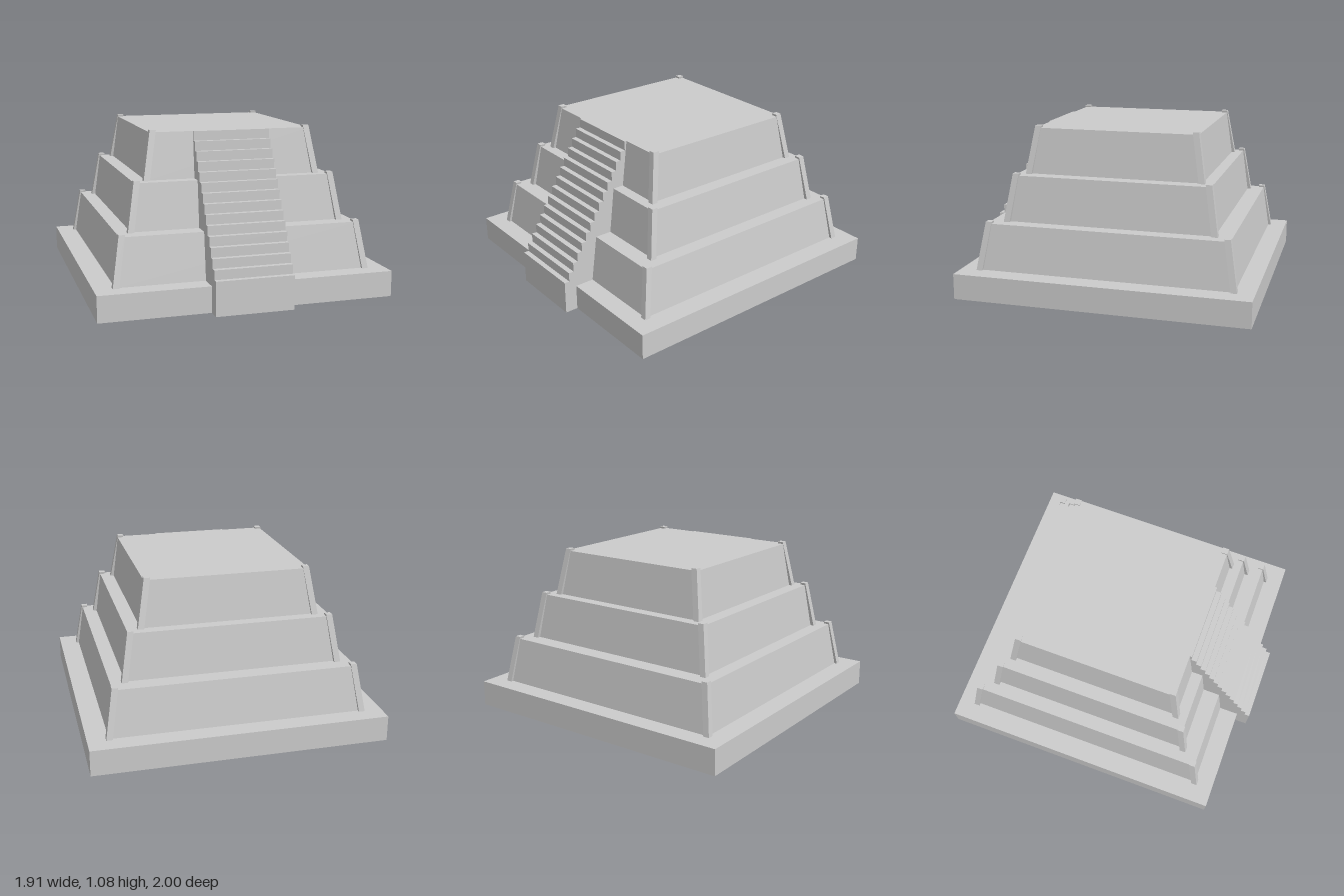
import * as THREE from 'three';
import { mergeGeometries } from 'three/addons/utils/BufferGeometryUtils.js';

const CENTRE_Z = -0.0425;
const material = new THREE.MeshStandardMaterial({ color: 0xcccccc, flatShading: true, side: THREE.DoubleSide });

// Box without a floor, whose bottom and top are separate rectangles [x0, x1, z0, z1]
function loft(bottom, top, y0, y1) {
  const box = new THREE.BoxGeometry(1, 1, 1);
  const p = box.attributes.position;
  for (let i = 0; i < p.count; i++) {
    const up = p.getY(i) > 0;
    const r = up ? top : bottom;
    p.setXYZ(i, r[p.getX(i) > 0 ? 1 : 0], up ? y1 : y0, r[p.getZ(i) > 0 ? 3 : 2]);
  }
  const index = Array.from(box.index.array);
  index.splice(18, 6);
  box.setIndex(index);
  box.clearGroups();
  const g = box.toNonIndexed();
  g.computeVertexNormals();
  return g;
}

const centred = (hx, hz) => [-hx, hx, -hz, hz];

function addMesh(parent, name, geometry) {
  const mesh = new THREE.Mesh(geometry, material);
  mesh.name = name;
  parent.add(mesh);
  return mesh;
}

// Sloping terrace with a leaning square post on each corner
function makeTier(t) {
  const tier = new THREE.Group();
  tier.name = t.name;
  addMesh(tier, 'slopedWalls', loft(centred(...t.wall0), centred(...t.wall1), t.y0, t.y1));
  const w = 0.04;
  const foot = (sx, sz, [hx, hz]) => {
    const x = [sx * hx, sx * (hx - w)].sort((a, b) => a - b);
    const z = [sz * hz, sz * (hz - w)].sort((a, b) => a - b);
    return [...x, ...z];
  };
  for (const sx of [-1, 1]) for (const sz of [-1, 1]) {
    addMesh(tier, 'cornerPost', loft(foot(sx, sz, t.post0), foot(sx, sz, t.post1), t.y0, t.y1 + 0.014));
  }
  tier.position.z = CENTRE_Z;
  return tier;
}

// Hollow staircase: two stepped side walls, with risers and treads between
function makeStairs() {
  const stairs = new THREE.Group();
  stairs.name = 'staircase';
  const halfWidth = 0.253, count = 15, first = 0.22, rise = 0.0605, run = 0.035, back = 0.485;

  const profile = [[1, 0]];
  for (let i = 0; i < count; i++) {
    const y = first + i * rise;
    profile.push([1 - i * run, y], [i === count - 1 ? back : 1 - (i + 1) * run, y]);
  }
  const outline = new THREE.Shape([...profile, [back, 0]].map(([z, y]) => new THREE.Vector2(z, y)));
  for (const s of [-1, 1]) {
    const side = addMesh(stairs, 'stairSide', new THREE.ShapeGeometry(outline));
    side.rotation.y = -Math.PI / 2;
    side.position.x = s * halfWidth;
  }

  const faces = [];
  for (let i = 0; i + 1 < profile.length; i++) {
    const [z0, y0] = profile[i], [z1, y1] = profile[i + 1];
    const riser = i % 2 === 0;
    const face = new THREE.PlaneGeometry(2 * halfWidth, riser ? y1 - y0 : z0 - z1);
    if (!riser) face.rotateX(-Math.PI / 2);
    faces.push(face.translate(0, (y0 + y1) / 2, (z0 + z1) / 2));
  }
  addMesh(stairs, 'steps', mergeGeometries(faces));
  return stairs;
}

export function createModel() {
  const model = new THREE.Group();
  model.name = 'steppedPyramid';

  // Plinth, open underneath
  const plinth = centred(0.957, 0.9575);
  addMesh(model, 'plinth', loft(plinth, plinth, 0, 0.168)).position.z = CENTRE_Z;

  // Terraces: half sizes [x, z] of walls and posts at bottom (0) and top (1)
  const tiers = [
    { name: 'lowerTier', y0: 0.168, y1: 0.47, wall0: [0.822, 0.831], wall1: [0.783, 0.791], post0: [0.841, 0.849], post1: [0.789, 0.795] },
    { name: 'middleTier', y0: 0.47, y1: 0.769, wall0: [0.69, 0.68], wall1: [0.656, 0.646], post0: [0.714, 0.703], post1: [0.662, 0.652] },
    { name: 'upperTier', y0: 0.769, y1: 1.067, wall0: [0.566, 0.573], wall1: [0.534, 0.538], post0: [0.587, 0.593], post1: [0.533, 0.54] },
  ];
  for (const t of tiers) model.add(makeTier(t));

  model.add(makeStairs());
  return model;
}
